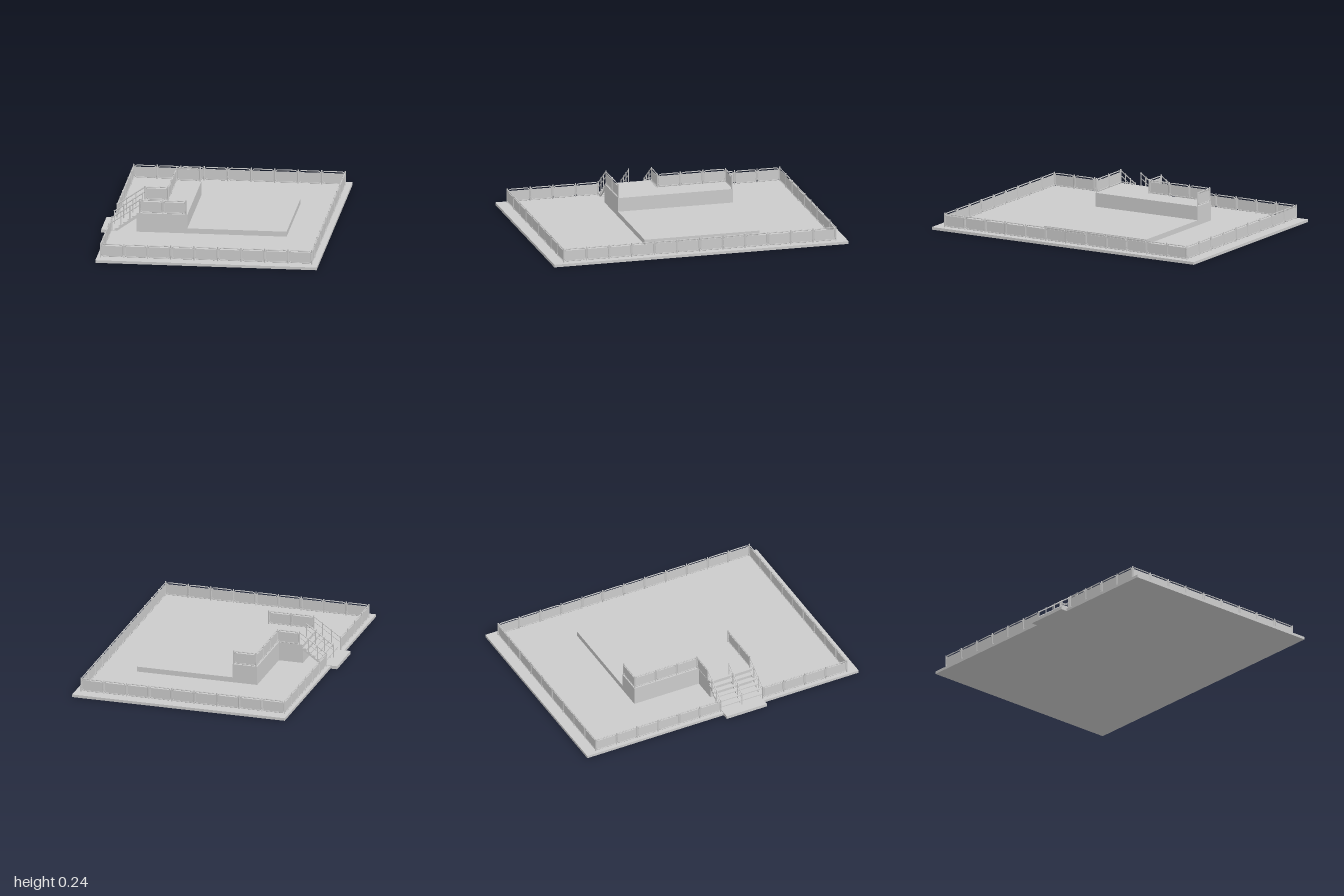
import * as THREE from 'three';

const mat = new THREE.MeshStandardMaterial({ color: 0xcccccc });
const flat = new THREE.MeshStandardMaterial({ color: 0xcccccc, flatShading: true });
const V = (x, y, z) => new THREE.Vector3(x, y, z);

const GROUND = 0.018, DECK = 0.145, BAY = 0.1545, POST = 0.096;

function add(parent, name, geometry, material = mat) {
  const mesh = new THREE.Mesh(geometry, material);
  mesh.name = name;
  parent.add(mesh);
  return mesh;
}

// Box given by its minimum and maximum corners
function box(parent, name, x0, x1, y0, y1, z0, z1) {
  const mesh = add(parent, name, new THREE.BoxGeometry(x1 - x0, y1 - y0, z1 - z0), flat);
  mesh.position.set((x0 + x1) / 2, (y0 + y1) / 2, (z0 + z1) / 2);
  return mesh;
}

// Round bar between two points
function bar(parent, name, a, b, r) {
  const mesh = add(parent, name, new THREE.CylinderGeometry(r, r, a.distanceTo(b), 8));
  mesh.position.copy(a).lerp(b, 0.5);
  mesh.quaternion.setFromUnitVectors(V(0, 1, 0), b.clone().sub(a).normalize());
  return mesh;
}

// Closed tube frame with rounded corners, lying in the xy plane
function frameGeometry(w, y0, y1, corner, r) {
  const path = new THREE.CurvePath();
  const x = w / 2;
  const corners = [[-x, y0, 1, 1], [x, y0, -1, 1], [x, y1, -1, -1], [-x, y1, 1, -1]];
  const ends = corners.map(([cx, cy, sx, sy], i) => {
    const alongX = V(cx + sx * corner, cy, 0), alongY = V(cx, cy + sy * corner, 0);
    return i % 2 ? [alongX, V(cx, cy, 0), alongY] : [alongY, V(cx, cy, 0), alongX];
  });
  ends.forEach((e, i) => {
    path.add(new THREE.QuadraticBezierCurve3(...e));
    path.add(new THREE.LineCurve3(e[2], ends[(i + 1) % 4][0]));
  });
  return new THREE.TubeGeometry(path, 64, r, 6, true);
}

// Straight run of posts, framed bays and infill panels
function railing(parent, name, x0, z0, x1, z1, y) {
  const run = new THREE.Group();
  run.name = name;
  const length = Math.hypot(x1 - x0, z1 - z0);
  const bays = Math.round(length / BAY), w = length / bays;
  const frame = frameGeometry(w - 0.012, 0.008, 0.089, 0.02, 0.0035);
  const infill = new THREE.BoxGeometry(w - 0.014, 0.07, 0.002);
  for (let i = 0; i <= bays; i++) {
    const x = i * w;
    bar(run, 'post', V(x, 0, 0), V(x, POST, 0), 0.0045);
    if (i === bays) break;
    add(run, 'railFrame', frame).position.x = x + w / 2;
    add(run, 'infillPanel', infill, flat).position.set(x + w / 2, 0.043, 0);
    // short brackets tie each frame to its posts
    for (const h of [0.028, 0.069])
      for (const s of [0.003, w - 0.003])
        add(run, 'bracket', new THREE.BoxGeometry(0.008, 0.005, 0.005), flat).position.set(x + s, h, 0);
  }
  run.position.set(x0, y, z0);
  run.rotation.y = -Math.atan2(z1 - z0, x1 - x0);
  parent.add(run);
}

export function createModel() {
  const model = new THREE.Group();
  model.name = 'railedTerrace';

  // Ground slab, entrance landing and the two platform levels
  box(model, 'groundSlab', -0.71, 0.75, 0, GROUND, -1, 1);
  box(model, 'entranceLanding', -0.755, -0.65, 0, 0.021, 0.005, 0.3);
  box(model, 'lowPlatform', -0.185, 0.47, 0.001, 0.052, -0.47, 0.31);

  const outline = new THREE.Shape([
    [-0.185, 0.47], [-0.355, 0.47], [-0.355, -0.005], [-0.52, -0.005], [-0.52, -0.31], [-0.185, -0.31],
  ].map(([x, y]) => new THREE.Vector2(x, y)));
  const deck = add(model, 'raisedDeck',
    new THREE.ExtrudeGeometry(outline, { depth: DECK - 0.001, bevelEnabled: false }), flat);
  deck.rotation.x = -Math.PI / 2;
  deck.position.y = 0.001;

  // Perimeter railing, open at the stairs
  const L = -0.685, R = 0.71, F = 0.925, B = -0.925;
  railing(model, 'frontRailing', L, F, R, F, GROUND);
  railing(model, 'backRailing', L, B, R, B, GROUND);
  railing(model, 'leftRailing', R, B, R, F, GROUND);
  railing(model, 'rightRailingBack', L, B, L, -0.005, GROUND);
  railing(model, 'rightRailingFront', L, 0.307, L, F, GROUND);

  // Raised deck railing
  railing(model, 'deckFrontRailing', -0.5, 0.306, -0.192, 0.306, DECK);
  railing(model, 'deckInnerRailing', -0.5, -0.003, -0.348, -0.003, DECK);
  railing(model, 'deckSideRailing', -0.348, -0.003, -0.348, -0.465, DECK);
  railing(model, 'deckBackRailing', -0.348, -0.465, -0.192, -0.465, DECK);

  // Open stairs: treads on sloping stringers
  const stairs = new THREE.Group();
  stairs.name = 'stairs';
  model.add(stairs);
  const steps = 5, run = 0.029, rise = (DECK - GROUND) / (steps + 1);
  for (let i = 0; i < steps; i++) {
    const x = -0.667 + i * run, y = GROUND + (i + 1) * rise;
    box(stairs, 'tread', x, x + run + 0.003, y - 0.006, y, -0.005, 0.31);
  }
  const side = new THREE.Shape([
    [-0.675, GROUND], [-0.65, GROUND], [-0.515, 0.113], [-0.515, 0.135],
  ].map(([x, y]) => new THREE.Vector2(x, y)));
  for (const z of [0, 0.149, 0.299])
    add(stairs, 'stringer', new THREE.ExtrudeGeometry(side, { depth: 0.006, bevelEnabled: false }), flat).position.z = z;

  // Three sloping handrails with a lower rail and posts
  const slope = (DECK - GROUND) / 0.185;
  for (const z of [-0.003, 0.152, 0.306]) {
    const at = (x, h) => V(x, GROUND + (x + 0.685) * slope + h, z);
    bar(stairs, 'handrail', at(-0.688, 0.089), at(-0.498, 0.089), 0.004);
    bar(stairs, 'lowerRail', at(-0.685, 0.055), at(-0.5, 0.055), 0.003);
    for (let i = 0; i < 4; i++) {
      const x = -0.685 + (i * 0.185) / 3;
      bar(stairs, 'stairPost', at(x, 0), at(x, POST), 0.004);
    }
  }
  return model;
}
